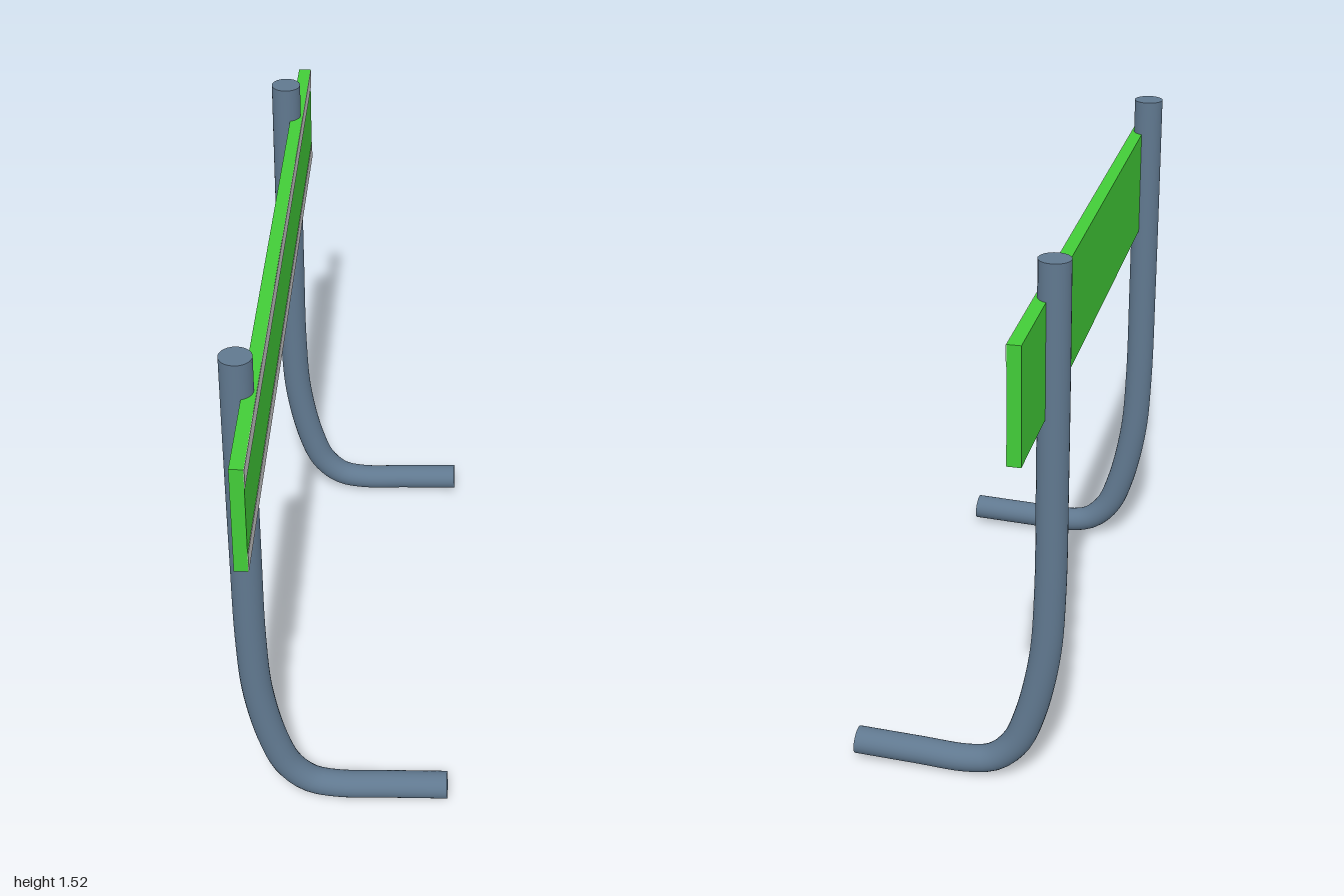
import * as THREE from 'three';

const green = new THREE.MeshStandardMaterial({ color: 0x42cc38 });
const steel = new THREE.MeshStandardMaterial({ color: 0x60788f });
const grey = new THREE.MeshStandardMaterial({ color: 0xcccccc });

// The tube section is slightly squashed: wider along x, flatter along y
const squash = new THREE.Vector3(1.05, 0.93, 1);
const radius = 0.04;

function addMesh(parent, name, geometry, material, x = 0, y = 0, z = 0) {
  const mesh = new THREE.Mesh(geometry, material);
  mesh.name = name;
  mesh.position.set(x, y, z);
  parent.add(mesh);
  return mesh;
}

// Upright post that sweeps into a foot along the ground
function createPost(z) {
  const post = new THREE.Group();
  post.name = 'bentPost';
  const points = [
    [-0.253, 1.52], [-0.253, 1.2], [-0.252, 0.9], [-0.249, 0.6], [-0.236, 0.4],
    [-0.196, 0.21], [-0.155, 0.112], [-0.095, 0.056], [-0.02, 0.04], [0.12, 0.045], [0.293, 0.052],
  ].map(([x, y]) => new THREE.Vector3(x, y, 0).divide(squash));
  const path = new THREE.CatmullRomCurve3(points, false, 'centripetal');
  addMesh(post, 'postTube', new THREE.TubeGeometry(path, 80, radius, 24), steel);

  // Flat caps on both ends
  for (const [name, t, sign] of [['topCap', 0, -1], ['footCap', 1, 1]]) {
    const p = path.getPointAt(t);
    const cap = addMesh(post, name, new THREE.CircleGeometry(radius, 24), steel, p.x, p.y, p.z);
    cap.quaternion.setFromUnitVectors(new THREE.Vector3(0, 0, 1), path.getTangentAt(t).multiplyScalar(sign));
  }
  post.scale.copy(squash);
  post.position.z = z;
  return post;
}

export function createModel() {
  const model = new THREE.Group();
  model.name = 'barrier';

  for (const z of [0.697, -0.697]) model.add(createPost(z));

  // Long board with a pale stripe along its upper and lower edges
  addMesh(model, 'board', new THREE.BoxGeometry(0.035, 0.31, 2), green, -0.2225, 1.265);
  for (const y of [1.392, 1.138]) {
    addMesh(model, 'stripe', new THREE.BoxGeometry(0.002, 0.055, 2), grey, -0.2045, y);
  }
  return model;
}
